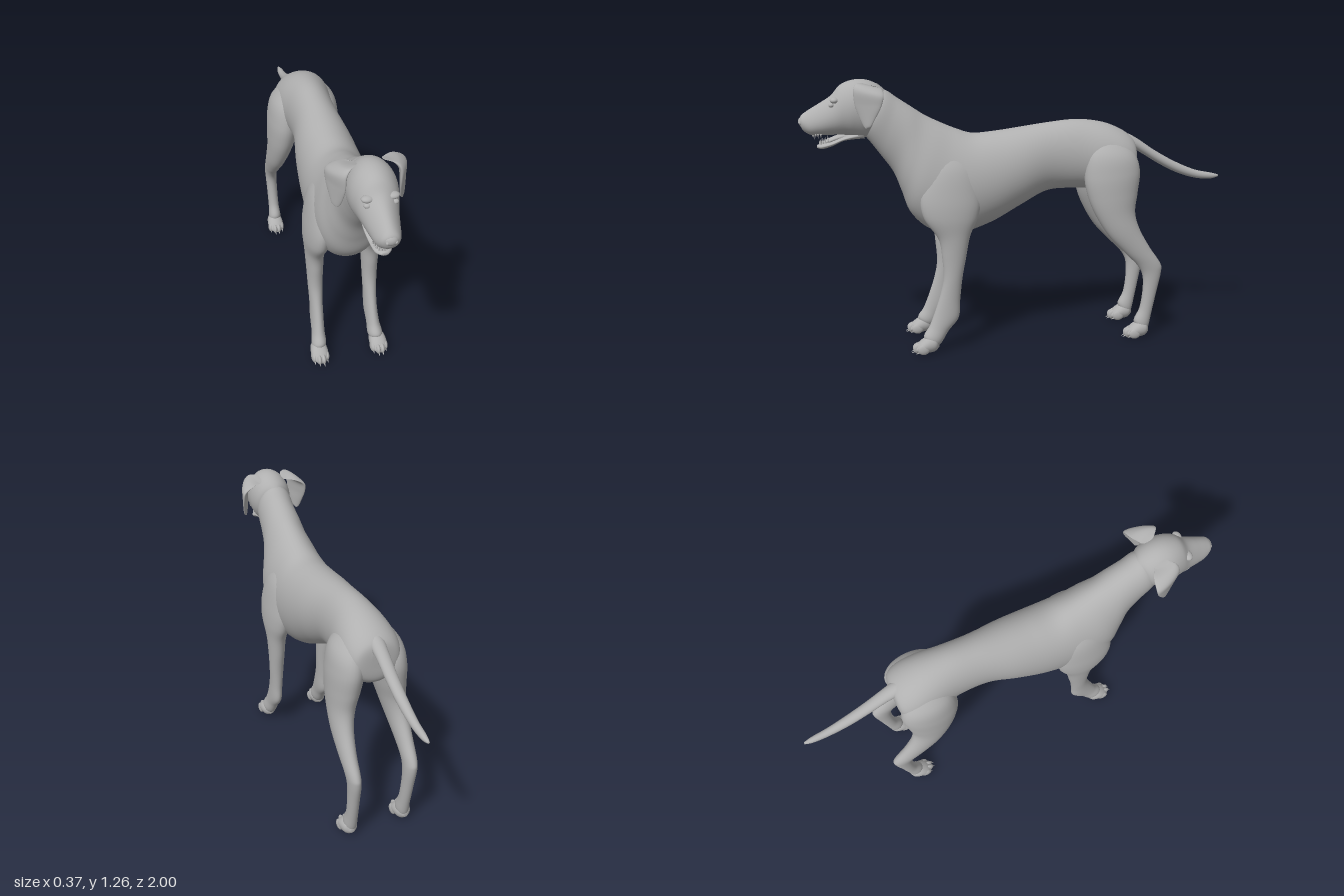
import * as THREE from 'three';

const coat = new THREE.MeshStandardMaterial({ color: 0xb0b0b0 });
coat.name = 'grey coat';

// Smooth interpolation through section values
function spline(a, b, c, d, t) {
  return 0.5 * (2 * b + (c - a) * t + (2 * a - 5 * b + 4 * c - d) * t * t + (3 * b - a - 3 * c + d) * t * t * t);
}

// Skin over oval rings. Section: [zA, yA, zB, yB, halfWidth, xCentre, egg, skew],
// where A and B are the two outline points of the ring seen from the side.
function loft(name, sections, side = 1, x0 = 0, sides = 32, steps = 7) {
  const S = sections.map(s => Array.from({ length: 8 }, (_, k) => s[k] ?? 0));
  const at = i => S[Math.min(S.length - 1, Math.max(0, i))];
  const pos = [], idx = [], rings = (S.length - 1) * steps + 1;
  const centres = [];
  for (let r = 0; r < rings; r++) {
    const i = Math.min(S.length - 2, Math.floor(r / steps)), t = r / steps - i;
    const v = S[0].map((_, k) => spline(at(i - 1)[k], at(i)[k], at(i + 1)[k], at(i + 2)[k], t));
    const [zA, yA, zB, yB, w, xc, egg, skew] = v;
    const cz = (zA + zB) / 2, cy = (yA + yB) / 2, cx = side * (xc + x0);
    centres.push([cx, cy, cz]);
    for (let j = 0; j < sides; j++) {
      const a = j / sides * Math.PI * 2, c = Math.cos(a), s = Math.sin(a);
      pos.push(cx + Math.max(w, 0.001) * s * (1 + egg * c) - side * skew * c, cy + c * (yA - yB) / 2, cz + c * (zA - zB) / 2);
    }
  }
  for (let r = 0; r < rings - 1; r++) for (let j = 0; j < sides; j++) {
    const k = (j + 1) % sides, a = r * sides + j, b = r * sides + k;
    idx.push(a, a + sides, b, b, a + sides, b + sides);
  }
  // End caps
  const n = rings * sides, last = n - sides;
  pos.push(...centres[0], ...centres[rings - 1]);
  for (let j = 0; j < sides; j++) {
    const k = (j + 1) % sides;
    idx.push(n, j, k, n + 1, last + k, last + j);
  }
  const g = new THREE.BufferGeometry();
  g.setAttribute('position', new THREE.Float32BufferAttribute(pos, 3));
  g.setIndex(idx);
  g.computeVertexNormals();
  const m = new THREE.Mesh(g, coat);
  m.name = name;
  return m;
}

function ball(name, x, y, z, rx, ry, rz) {
  const m = new THREE.Mesh(new THREE.SphereGeometry(1, 20, 14), coat);
  m.name = name;
  m.position.set(x, y, z);
  m.scale.set(rx, ry, rz);
  return m;
}

function spike(name, x, y, z, r, h, tilt) {
  const m = new THREE.Mesh(new THREE.ConeGeometry(r, h, 8), coat);
  m.name = name;
  m.position.set(x, y, z);
  m.rotation.x = tilt;
  return m;
}

// Paw with four toes and claws, tip at z
function paw(name, side, x, z) {
  const g = new THREE.Group();
  g.name = name;
  g.add(loft('pawPad', [
    [z - 0.13, 0.05, z - 0.13, 0.03, 0.01], [z - 0.115, 0.08, z - 0.11, 0.012, 0.032],
    [z - 0.08, 0.085, z - 0.08, 0.006, 0.04], [z - 0.045, 0.065, z - 0.045, 0.006, 0.038],
    [z - 0.02, 0.04, z - 0.02, 0.012, 0.022]], side, x));
  for (let i = 0; i < 4; i++) {
    const o = (i - 1.5) * 0.02, back = Math.abs(i - 1.5) > 1 ? 0.02 : 0;
    g.add(ball('toe', side * (x + o), 0.03, z - 0.035 - back, 0.0125, 0.025, 0.028));
    g.add(spike('claw', side * (x + o), 0.016, z - 0.01 - back, 0.006, 0.026, 2.0));
  }
  return g;
}

export function createModel() {
  const dog = new THREE.Group();
  dog.name = 'dog';

  dog.add(loft('bodyAndNeck', [
    [-0.56, 0.93, -0.56, 0.86, 0.03], [-0.545, 0.97, -0.55, 0.78, 0.1], [-0.49, 1.01, -0.48, 0.74, 0.13],
    [-0.4, 1.045, -0.38, 0.73, 0.128], [-0.28, 1.06, -0.26, 0.733, 0.112], [-0.15, 1.05, -0.13, 0.725, 0.112],
    [0, 1.03, 0, 0.66, 0.135], [0.12, 1.015, 0.14, 0.585, 0.148], [0.22, 1.01, 0.29, 0.54, 0.153],
    [0.3, 1.035, 0.42, 0.565, 0.152, 0, -0.12], [0.37, 1.065, 0.51, 0.645, 0.142, 0, -0.15],
    [0.44, 1.1, 0.55, 0.75, 0.118, 0, -0.12], [0.5, 1.14, 0.585, 0.84, 0.1], [0.56, 1.18, 0.64, 0.92, 0.09],
    [0.61, 1.215, 0.7, 1.0, 0.085], [0.66, 1.23, 0.74, 1.04, 0.06]], 1, 0, 48));

  dog.add(loft('tail', [
    [-0.49, 0.93, -0.49, 0.99, 0.02], [-0.55, 0.915, -0.53, 0.985, 0.033], [-0.605, 0.885, -0.585, 0.955, 0.03],
    [-0.69, 0.833, -0.67, 0.898, 0.027], [-0.785, 0.785, -0.77, 0.842, 0.024], [-0.88, 0.755, -0.875, 0.797, 0.019],
    [-0.96, 0.748, -0.96, 0.778, 0.014], [-1.0, 0.757, -1.0, 0.767, 0.005]]));

  // Head
  const head = new THREE.Group();
  head.name = 'head';
  dog.add(head);
  head.add(loft('skullAndMuzzle', [
    [0.6, 1.2, 0.64, 1.08, 0.03], [0.635, 1.235, 0.665, 1.03, 0.08], [0.69, 1.262, 0.71, 1.005, 0.098],
    [0.75, 1.265, 0.76, 1.01, 0.099], [0.81, 1.243, 0.8, 1.018, 0.088, 0, -0.05], [0.855, 1.195, 0.845, 1.02, 0.074, 0, -0.1],
    [0.91, 1.16, 0.9, 1.02, 0.061, 0, -0.2], [0.96, 1.13, 0.945, 1.022, 0.05, 0, -0.2],
    [0.988, 1.108, 0.975, 1.038, 0.035], [0.995, 1.085, 0.99, 1.06, 0.012]], 1, 0, 40));
  head.add(loft('lowerJaw', [
    [0.72, 1.04, 0.71, 1.0, 0.045], [0.8, 1.015, 0.8, 0.993, 0.05], [0.86, 0.993, 0.855, 0.969, 0.043],
    [0.9, 0.983, 0.9, 0.957, 0.034], [0.922, 0.975, 0.922, 0.962, 0.014]]));
  head.add(loft('tongue', [
    [0.76, 1.03, 0.76, 1.005, 0.02], [0.82, 1.022, 0.82, 0.995, 0.027],
    [0.87, 1.004, 0.87, 0.98, 0.025], [0.9, 0.99, 0.9, 0.975, 0.01]]));
  head.add(ball('nose', 0, 1.083, 0.98, 0.029, 0.023, 0.02));

  // Teeth along both jaws
  for (let i = 0; i < 11; i++) {
    const a = (i / 10 - 0.5) * 2.6, fang = i === 3 || i === 7;
    head.add(spike('lowerTooth', Math.sin(a) * 0.036, 0.988 + (1 - Math.cos(a)) * 0.018, 0.86 + Math.cos(a) * 0.05,
      0.005, fang ? 0.034 : 0.02, 0));
    head.add(spike('upperTooth', Math.sin(a) * 0.043, 1.02, 0.89 + Math.cos(a) * 0.05,
      0.005, fang ? 0.036 : 0.018, Math.PI));
  }

  for (const side of [1, -1]) {
    const label = side > 0 ? 'left' : 'right';
    head.add(ball(label + 'Eye', side * 0.054, 1.158, 0.852, 0.015, 0.011, 0.013));
    head.add(ball(label + 'Brow', side * 0.05, 1.178, 0.838, 0.026, 0.014, 0.02));
    head.add(ball(label + 'Nostril', side * 0.017, 1.079, 0.989, 0.008, 0.009, 0.01));

    // Drooping ear, front edge turned in towards the cheek
    head.add(loft(label + 'Ear', [
      [0.72, 1.255, 0.66, 1.235, 0.012, 0.065], [0.745, 1.253, 0.635, 1.232, 0.019, 0.1, 0, 0.008],
      [0.757, 1.225, 0.628, 1.205, 0.018, 0.132, 0, 0.022], [0.753, 1.165, 0.64, 1.16, 0.013, 0.136, 0, 0.024],
      [0.737, 1.115, 0.665, 1.11, 0.011, 0.135, 0, 0.018], [0.72, 1.075, 0.685, 1.072, 0.008, 0.135, 0, 0.01],
      [0.71, 1.063, 0.693, 1.062, 0.003, 0.135]], side));

    dog.add(loft(label + 'FrontLeg', [
      [0.36, 0.97, 0.28, 0.96, 0.015, 0.075], [0.43, 0.87, 0.22, 0.86, 0.043, 0.105], [0.475, 0.75, 0.2, 0.73, 0.058, 0.117],
      [0.465, 0.645, 0.215, 0.64, 0.057, 0.125], [0.4, 0.545, 0.253, 0.555, 0.044, 0.13], [0.384, 0.45, 0.274, 0.45, 0.038, 0.13],
      [0.38, 0.36, 0.292, 0.355, 0.034, 0.13], [0.396, 0.28, 0.304, 0.25, 0.03, 0.13], [0.424, 0.195, 0.312, 0.165, 0.03, 0.131],
      [0.45, 0.13, 0.36, 0.105, 0.03, 0.134], [0.477, 0.085, 0.395, 0.05, 0.034, 0.138], [0.46, 0.05, 0.42, 0.03, 0.015, 0.14]], side));
    dog.add(paw(label + 'FrontPaw', side, 0.143, 0.537));

    dog.add(loft(label + 'HindLeg', [
      [-0.38, 1.0, -0.48, 0.98, 0.02, 0.06], [-0.315, 0.91, -0.54, 0.9, 0.062, 0.09], [-0.295, 0.8, -0.562, 0.82, 0.075, 0.1],
      [-0.312, 0.7, -0.55, 0.72, 0.07, 0.11], [-0.35, 0.61, -0.537, 0.63, 0.058, 0.122], [-0.41, 0.515, -0.557, 0.55, 0.047, 0.133],
      [-0.49, 0.43, -0.61, 0.455, 0.037, 0.138], [-0.55, 0.37, -0.665, 0.375, 0.031, 0.138], [-0.58, 0.315, -0.672, 0.33, 0.029, 0.136],
      [-0.584, 0.24, -0.652, 0.23, 0.027, 0.134], [-0.572, 0.15, -0.63, 0.12, 0.027, 0.132],
      [-0.545, 0.09, -0.615, 0.05, 0.031, 0.132], [-0.56, 0.05, -0.6, 0.03, 0.015, 0.132]], side));
    dog.add(paw(label + 'HindPaw', side, 0.135, -0.485));
  }
  return dog;
}
